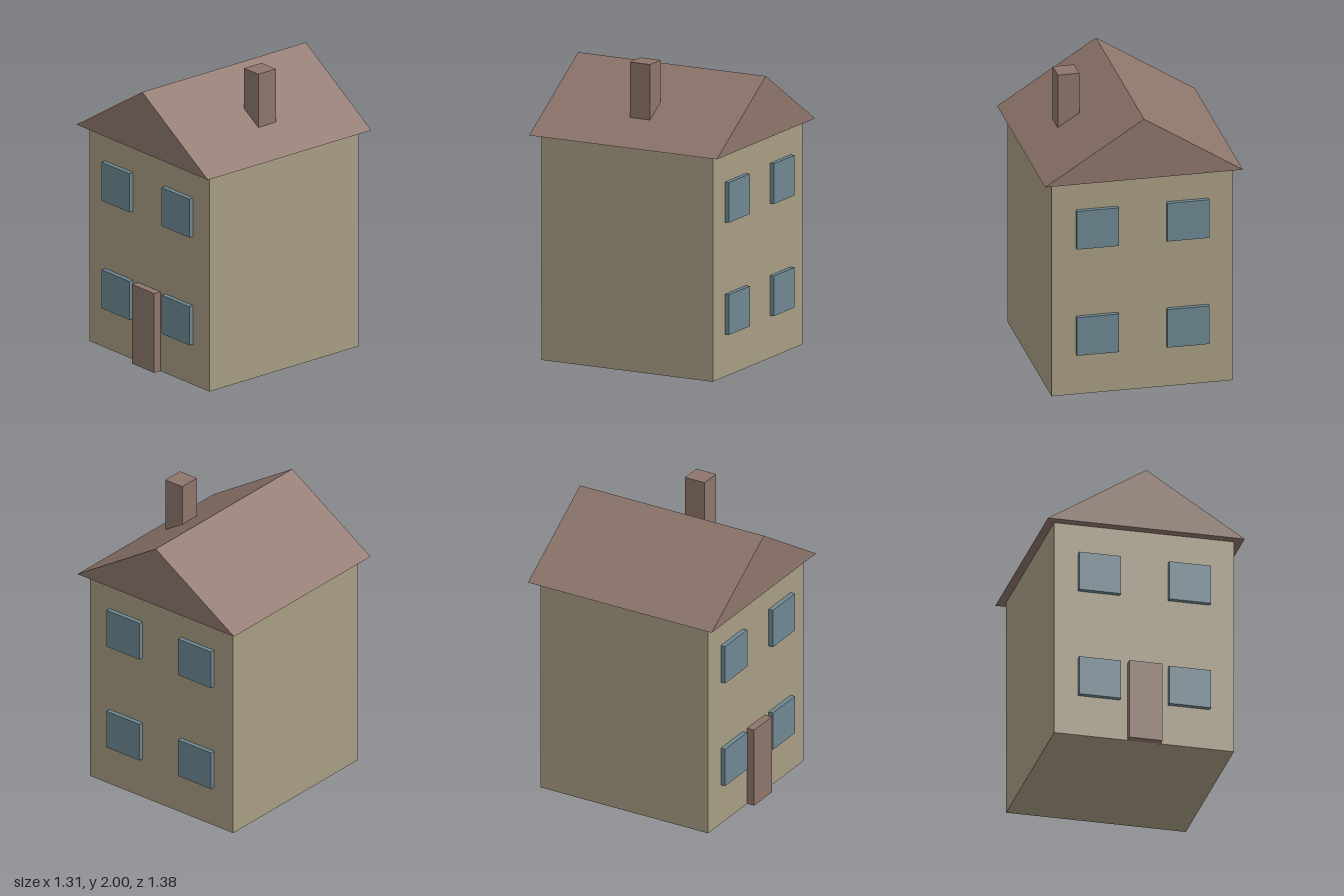
import * as THREE from 'three';

const mat = (name, color) => {
  const m = new THREE.MeshStandardMaterial({ color });
  m.name = name;
  return m;
};

export function createModel() {
  const house = new THREE.Group();
  house.name = 'house';
  const plaster = mat('beige plaster', 0xa89d84);
  const brown = mat('brown', 0x8d756b);
  const glass = mat('blue glass', 0x6e8792);

  // Box given by its limits on each axis
  const addBox = (name, material, [x0, x1], [y0, y1], [z0, z1]) => {
    const mesh = new THREE.Mesh(new THREE.BoxGeometry(x1 - x0, y1 - y0, z1 - z0), material);
    mesh.position.set((x0 + x1) / 2, (y0 + y1) / 2, (z0 + z1) / 2);
    mesh.name = name;
    house.add(mesh);
  };

  const wallZ = 0.63;
  const eaves = 1.49;
  addBox('walls', plaster, [-0.597, 0.597], [0, eaves], [-wallZ, wallZ]);

  // Gabled roof: a triangular prism overhanging the walls
  const gable = new THREE.Shape();
  gable.moveTo(-0.653, eaves);
  gable.lineTo(0.653, eaves);
  gable.lineTo(0, 1.905);
  gable.closePath();
  const roofGeometry = new THREE.ExtrudeGeometry(gable, { depth: 1.38, bevelEnabled: false });
  roofGeometry.translate(0, 0, -0.69);
  const roof = new THREE.Mesh(roofGeometry, brown);
  roof.name = 'roof';
  house.add(roof);

  addBox('chimney', brown, [0.286, 0.428], [1.55, 2], [-0.075, 0.073]);
  addBox('door', brown, [-0.11, 0.11], [0, 0.546], [wallZ - 0.02, 0.683]);

  // Two floors of paired windows on the front and back walls
  for (const [side, z] of [['front', [wallZ - 0.02, 0.662]], ['back', [-0.66, -wallZ + 0.02]]]) {
    for (const [floor, y] of [['Lower', [0.28, 0.546]], ['Upper', [1.022, 1.288]]]) {
      addBox(`${side}${floor}WindowLeft`, glass, [0.159, 0.436], y, z);
      addBox(`${side}${floor}WindowRight`, glass, [-0.438, -0.161], y, z);
    }
  }
  return house;
}
